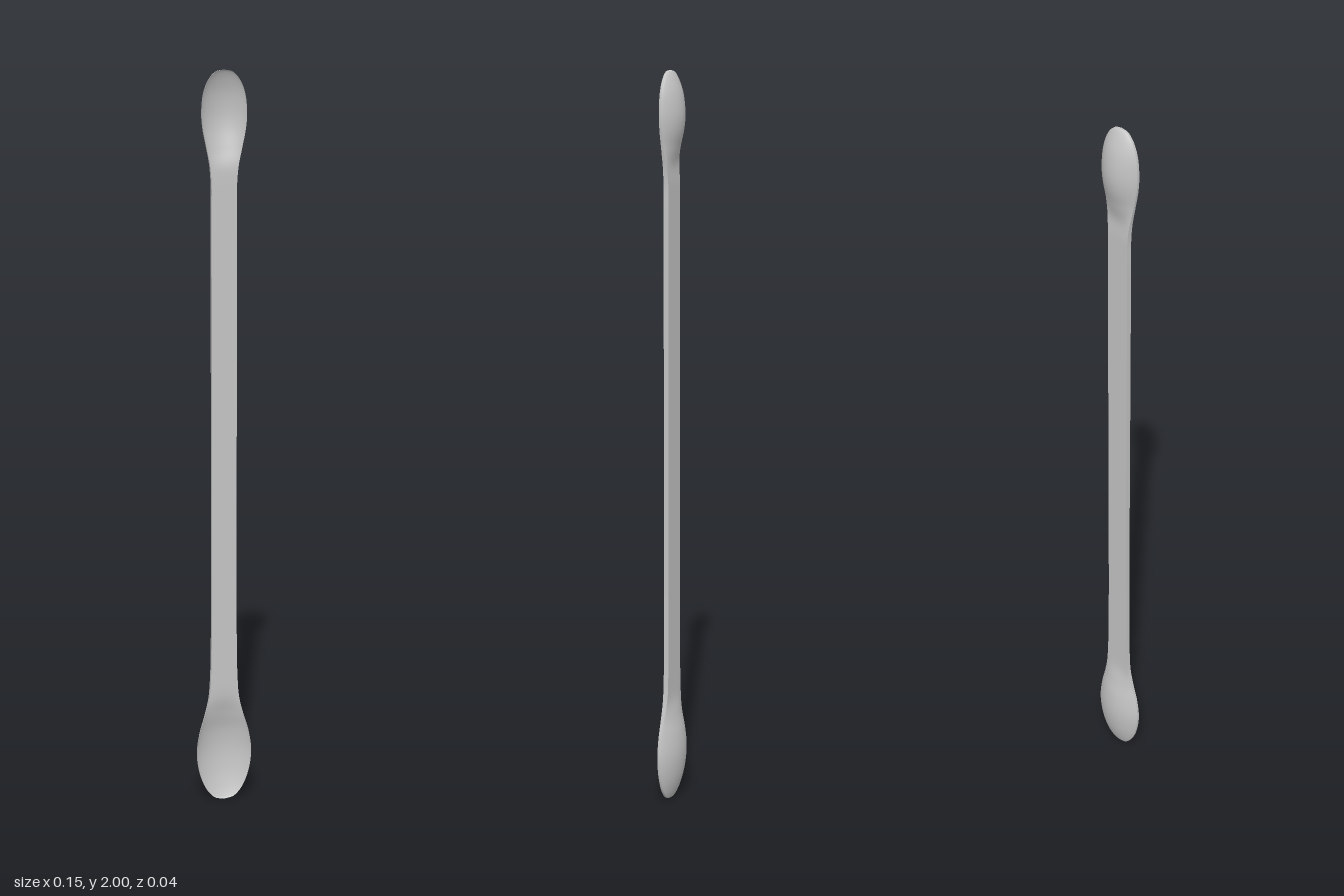
import * as THREE from 'three';

// Control points along the length: half width, height, bowl depth
const bigBowl = [
  [0, 0, 0], [0.026, 0.006, 0.004], [0.049, 0.03, 0.013], [0.068, 0.075, 0.024], [0.077, 0.135, 0.03],
  [0.07, 0.195, 0.026], [0.054, 0.25, 0.013], [0.042, 0.3, 0.002], [0.037, 0.37, 0], [0.035, 0.48, 0], [0.034, 0.6, 0],
];
const handle = [[0.034, 0.6, 0], [0.034, 1.1, 0], [0.034, 1.65, 0]];
const smallBowl = [
  [0.034, 1.65, 0], [0.034, 1.71, 0], [0.038, 1.755, 0.002], [0.047, 1.8, 0.014], [0.057, 1.85, 0.026],
  [0.06, 1.89, 0.029], [0.055, 1.94, 0.024], [0.041, 1.975, 0.014], [0.022, 1.995, 0.005], [0, 2, 0],
];

const RIM = 0.019;
const smooth = THREE.MathUtils.smoothstep;

// Edge is thick along the handle and thin around the bowls
const edgeAt = (y) => 0.006 + 0.008 * smooth(y, 0.18, 0.33) * (1 - smooth(y, 1.7, 1.82));

// One strip of surface: point(row, v) gives a position for v in 0..1
function addStrip(data, rows, cols, point) {
  const start = data.positions.length / 3;
  rows.forEach((row) => {
    for (let c = 0; c <= cols; c++) data.positions.push(...point(row, c / cols));
  });
  for (let r = 0; r < rows.length - 1; r++) {
    for (let c = 0; c < cols; c++) {
      const a = start + r * (cols + 1) + c;
      const d = a + cols + 1;
      data.indices.push(a, a + 1, d, a + 1, d + 1, d);
    }
  }
}

function makePart(name, points, steps, material) {
  const curve = new THREE.CatmullRomCurve3(points.map((p) => new THREE.Vector3(...p)));
  const rows = curve.getPoints(steps).map((p) => ({
    w: Math.max(p.x, 0), y: p.y, depth: Math.max(p.z, 0), edge: edgeAt(p.y),
  }));
  const dish = (u) => Math.pow(Math.max(1 - u * u, 0), 0.8);
  const across = (v) => Math.sin((v - 0.5) * Math.PI);
  const data = { positions: [], indices: [] };

  // Hollow front, right edge, rounded back, left edge
  addStrip(data, rows, 24, (r, v) => {
    const u = across(v);
    return [r.w * u, r.y, RIM - r.depth * dish(u)];
  });
  addStrip(data, rows, 1, (r, v) => [r.w, r.y, RIM - r.edge * v]);
  addStrip(data, rows, 24, (r, v) => {
    const u = -across(v);
    return [r.w * u, r.y, RIM - r.edge - r.depth * 1.13 * dish(u)];
  });
  addStrip(data, rows, 1, (r, v) => [-r.w, r.y, RIM - r.edge * (1 - v)]);

  const geometry = new THREE.BufferGeometry();
  geometry.setAttribute('position', new THREE.Float32BufferAttribute(data.positions, 3));
  geometry.setIndex(data.indices);
  geometry.computeVertexNormals();
  const mesh = new THREE.Mesh(geometry, material);
  mesh.name = name;
  return mesh;
}

export function createModel() {
  const group = new THREE.Group();
  group.name = 'doubleEndedSpoon';
  const metal = new THREE.MeshStandardMaterial({ color: 0xc4c4c4 });
  metal.name = 'brushed metal';
  group.add(
    makePart('largeBowl', bigBowl, 80, metal),
    makePart('handle', handle, 8, metal),
    makePart('smallBowl', smallBowl, 72, metal),
  );
  return group;
}
